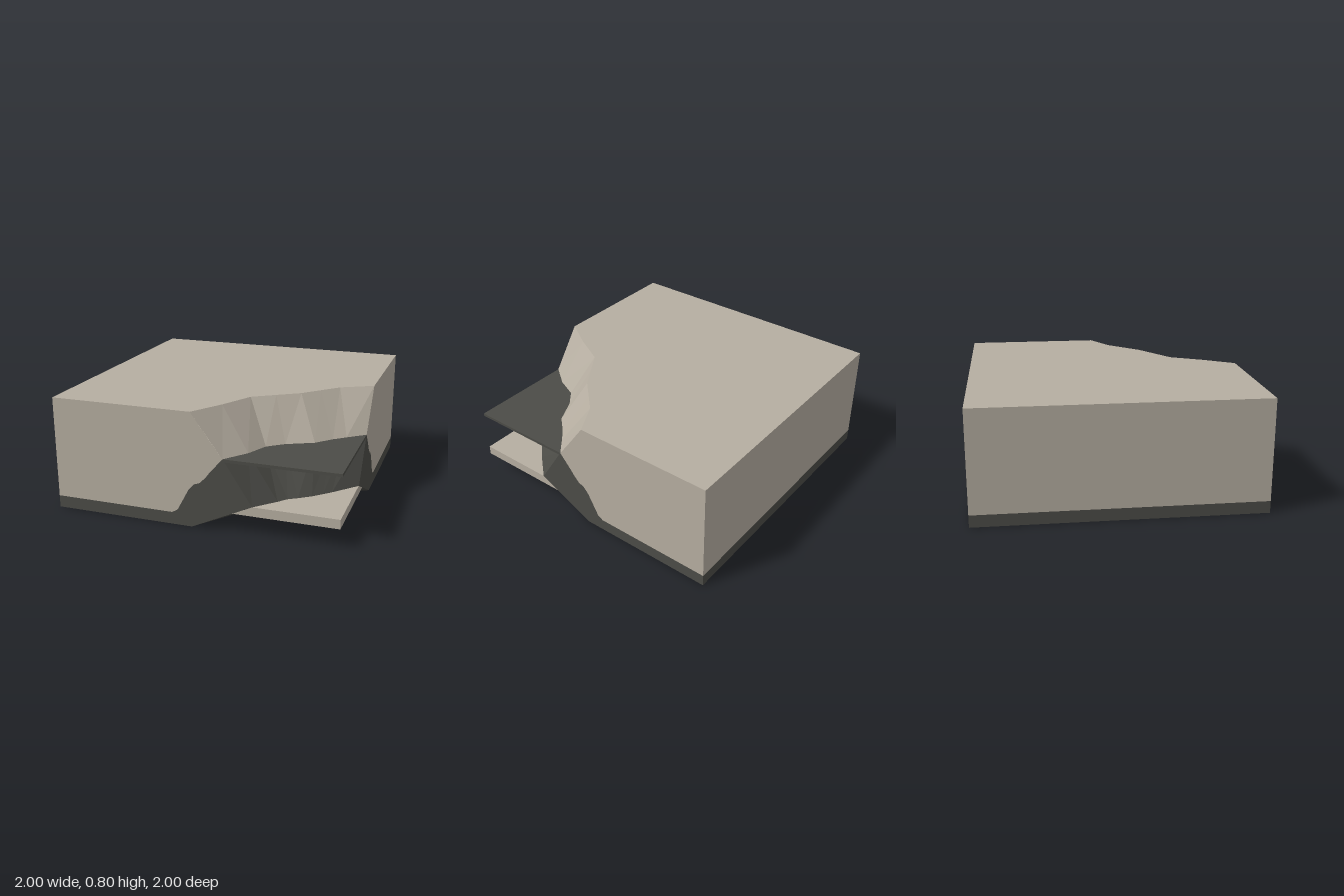
import * as THREE from 'three';

// Cliff outline in plan (x, z) at its rim, waterline and widest ledge; rim repeats at the foot
const rim = [[0, 1], [0.14, 0.78], [0.26, 0.55], [0.41, 0.45], [0.56, 0.35], [0.67, 0.235], [0.78, 0.12], [1, 0]];
const waterline = [[0.22, 1], [0.34, 0.84], [0.41, 0.68], [0.52, 0.59], [0.7, 0.5], [0.8, 0.39], [0.88, 0.32], [1, 0.22]];
const ledge = [[0.42, 1], [0.55, 0.86], [0.6, 0.8], [0.66, 0.76], [0.74, 0.7], [0.8, 0.64], [0.85, 0.59], [1, 0.42]];
const TOP = 0.8, WATER = 0.505, LEDGE = 0.2, BAND = 0.085;

// Ragged edge between pale and dark rock on the cut walls, ending at the waterline
const ragged = [[-1, BAND], [-0.14, BAND], [-0.1, 0.11], [-0.02, 0.26], [0.02, 0.305], [0.06, 0.32], [0.1, 0.36], [0.13, 0.4], [0.22, WATER]];
const paleWall = [...ragged, [0.14, 0.61], [0, TOP], [-1, TOP]];
const darkWall = [...ragged, [0.42, LEDGE], [0, 0], [-1, 0]];

const shapeOf = (pts) => new THREE.Shape(pts.map(([x, y]) => new THREE.Vector2(x, y)));
const rect = (y0, y1) => [[-1, y0], [1, y0], [1, y1], [-1, y1]];

// Faceted strip between two outlines, upper first
function strip(upper, y0, lower, y1) {
  const v = [];
  const P = ([x, z], y) => [x, y, z];
  for (let i = 0; i < upper.length - 1; i++) {
    const a = P(upper[i], y0), b = P(lower[i], y1);
    const c = P(lower[i + 1], y1), d = P(upper[i + 1], y0);
    v.push(...a, ...b, ...d, ...b, ...c, ...d);
  }
  const g = new THREE.BufferGeometry();
  g.setAttribute('position', new THREE.Float32BufferAttribute(v, 3));
  g.computeVertexNormals();
  return g;
}

export function createModel() {
  const model = new THREE.Group();
  model.name = 'cliffCornerTile';
  const pale = new THREE.MeshStandardMaterial({ color: 0xb6aea1, side: THREE.DoubleSide });
  pale.name = 'paleStone';
  const dark = new THREE.MeshStandardMaterial({ color: 0x4c4c47, side: THREE.DoubleSide });
  dark.name = 'darkStone';

  const add = (name, geometry, material) => {
    const mesh = new THREE.Mesh(geometry, material);
    mesh.name = name;
    model.add(mesh);
    return mesh;
  };
  // Flat sheet standing on one side of the block
  const wall = (name, pts, material, turn) =>
    add(name, new THREE.ShapeGeometry(shapeOf(pts)).translate(0, 0, 1).rotateY(turn), material);
  const mirror = (pts) => pts.map(([x, y]) => [-x, y]);

  // Cut walls that meet the open corner
  wall('frontWall', paleWall, pale, 0);
  wall('frontDarkRock', darkWall, dark, 0);
  wall('leftWall', mirror(paleWall), pale, Math.PI / 2);
  wall('leftDarkRock', mirror(darkWall), dark, Math.PI / 2);

  // Plain walls with a dark base band
  [['back', Math.PI], ['right', -Math.PI / 2]].forEach(([side, turn]) => {
    wall(side + 'Wall', rect(BAND, TOP), pale, turn);
    wall(side + 'BaseBand', rect(0, BAND), dark, turn);
  });

  // Flat top with the corner cut away
  const plan = [...rim, [1, -1], [-1, -1], [-1, 1]].map(([x, z]) => [x, -z]);
  add('topSurface', new THREE.ShapeGeometry(shapeOf(plan)).rotateX(-Math.PI / 2).translate(0, TOP, 0), pale);

  // Cliff face: pale above the shelf, dark below, undercut at the foot
  add('upperCliff', strip(rim, TOP, waterline, WATER), pale);
  add('lowerCliff', strip(waterline, WATER, ledge, LEDGE), dark);
  add('undercut', strip(ledge, LEDGE, rim, 0), dark);

  // Thin dark shelf filling the corner
  const shelf = [...waterline, [1, 1]].map(([x, z]) => [x, -z]);
  const shelfGeometry = new THREE.ExtrudeGeometry(shapeOf(shelf), { depth: 0.02, bevelEnabled: false });
  add('cornerShelf', shelfGeometry.rotateX(-Math.PI / 2).translate(0, WATER - 0.02, 0), dark);

  // Floor plate running under the whole block
  add('floorPlate', new THREE.BoxGeometry(1.997, 0.065, 1.997), pale).position.y = LEDGE - 0.0325;

  return model;
}
